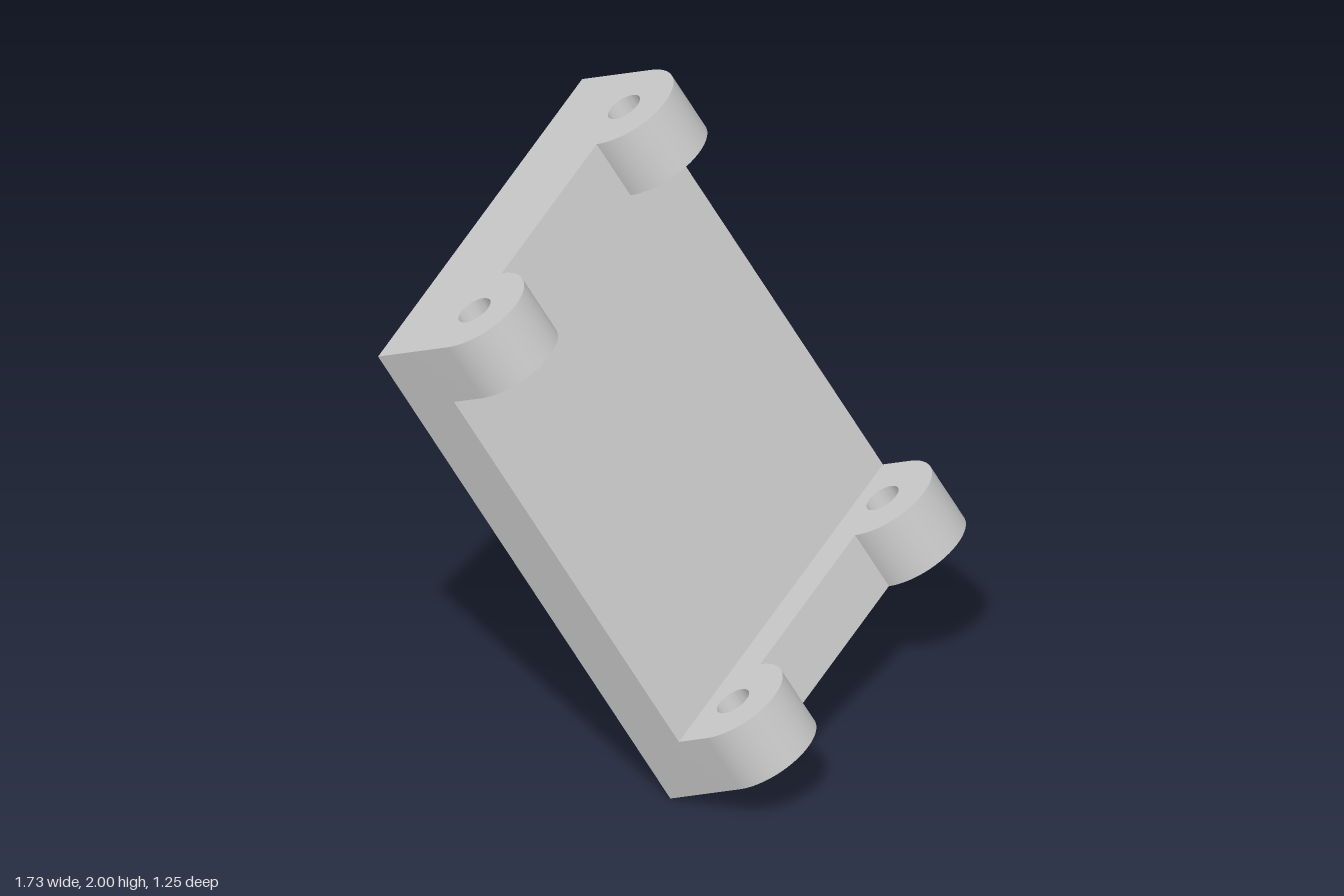
import * as THREE from 'three';
import { toCreasedNormals } from 'three/addons/utils/BufferGeometryUtils.js';

const WIDTH = 1.27;        // across the plate
const LENGTH = 1.732;      // outer face to outer face of the end walls
const PLATE = 0.173;       // plate thickness
const WALL = 0.2;          // end wall thickness
const HEIGHT = 0.283;      // wall height and height of the hole centres
const LUG = 0.17;          // lug radius
const HOLE = 0.055;        // pin hole radius

// End wall profile: a low wall with a round, drilled lug at each end
function endWallGeometry() {
  const shape = new THREE.Shape();
  shape.moveTo(0, 0);
  shape.lineTo(WIDTH, 0);
  shape.lineTo(WIDTH, HEIGHT);
  shape.absarc(WIDTH - LUG, HEIGHT, LUG, 0, Math.PI, false);
  shape.lineTo(2 * LUG, HEIGHT);
  shape.absarc(LUG, HEIGHT, LUG, 0, Math.PI, false);
  shape.lineTo(0, 0);
  for (const x of [LUG, WIDTH - LUG]) {
    const hole = new THREE.Path();
    hole.absarc(x, HEIGHT, HOLE, 0, Math.PI * 2, true);
    shape.holes.push(hole);
  }
  const geometry = new THREE.ExtrudeGeometry(shape, { depth: WALL, bevelEnabled: false, curveSegments: 24 });
  return toCreasedNormals(geometry, Math.PI / 6);
}

export function createModel() {
  const material = new THREE.MeshStandardMaterial({ color: 0xcccccc });
  const model = new THREE.Group();
  model.name = 'bracket';

  // Back plate between the end walls
  const plate = new THREE.Mesh(new THREE.BoxGeometry(WIDTH, PLATE, LENGTH - 2 * WALL), material);
  plate.name = 'backPlate';
  plate.position.set(WIDTH / 2, PLATE / 2, -LENGTH / 2);
  model.add(plate);

  // Matching walls at the lower and upper ends
  const wall = endWallGeometry();
  for (const [name, z] of [['lowerEndWall', -WALL], ['upperEndWall', -LENGTH]]) {
    const mesh = new THREE.Mesh(wall, material);
    mesh.name = name;
    mesh.position.z = z;
    model.add(mesh);
  }

  // Tilt the bracket so it rests on its lowest corner
  const c = Math.cos(Math.PI / 6), s = 0.5;
  const a = 0.537, b = 0.8436;
  const across = new THREE.Vector3(a * c, a * s, -b);
  const outward = new THREE.Vector3(b * c, b * s, a);
  const along = new THREE.Vector3(s, -c, 0);
  model.quaternion.setFromRotationMatrix(new THREE.Matrix4().makeBasis(across, outward, along));
  model.position.set(0, 0, 0.446);

  const root = new THREE.Group();
  root.name = 'tiltedBracket';
  root.add(model);
  return root;
}
